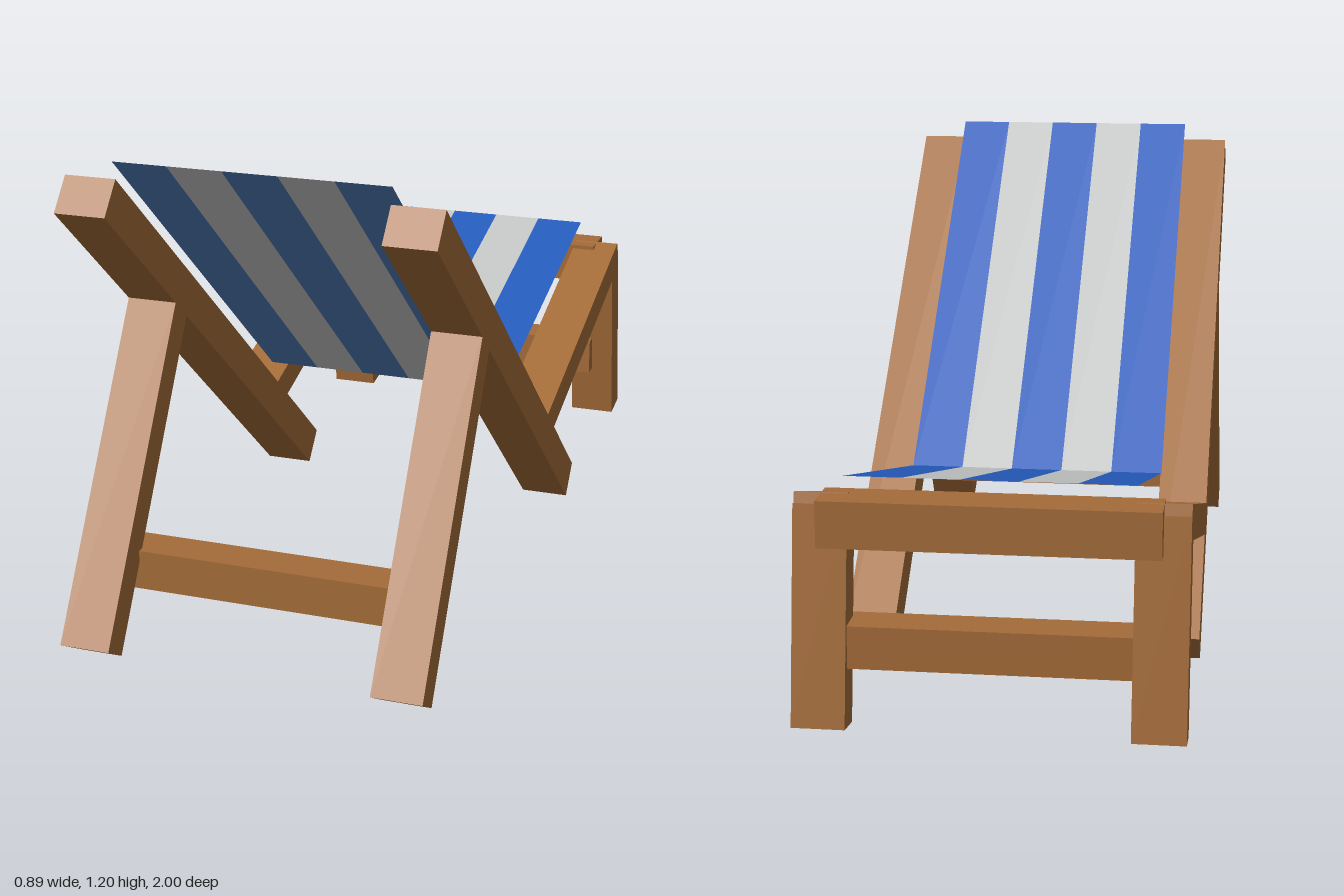
import * as THREE from 'three';

export function createModel() {
  const wood = new THREE.MeshStandardMaterial({ name: 'wood', color: 0xa56c39 });
  const blue = new THREE.MeshStandardMaterial({ name: 'blueCanvas', color: 0x255cbd });
  const fadedBlue = new THREE.MeshStandardMaterial({ name: 'fadedBlueUnderside', color: 0x4f7cb9 });
  const pale = new THREE.MeshStandardMaterial({ name: 'paleCanvas', color: 0xc4c6c5 });

  const chair = new THREE.Group();
  chair.name = 'deckChair';

  // Square-cut timber running between two [z, y] points, at a given x
  function beam(name, x, thickness, [z0, y0], [z1, y1]) {
    const dz = z1 - z0, dy = y1 - y0;
    const mesh = new THREE.Mesh(new THREE.BoxGeometry(0.123, thickness, Math.hypot(dz, dy)), wood);
    mesh.position.set(x, (y0 + y1) / 2, (z0 + z1) / 2);
    mesh.rotation.x = -Math.atan2(dy, dz);
    mesh.name = name;
    chair.add(mesh);
  }

  // Mirrored side timbers
  for (const [side, s] of [['left', 1], ['right', -1]]) {
    const x = 0.3815 * s;
    beam(side + 'BackRail', x, 0.096, [-0.369, 0.036], [0.89, 1.121]);
    beam(side + 'PropLeg', x, 0.08, [0.967, 0.037], [0.52, 0.763]);
    beam(side + 'SeatRail', x, 0.08, [-0.1, 0.292], [-0.916, 0.53]);
    beam(side + 'SeatLeg', x, 0.081, [-0.957, 0.037], [-0.882, 0.538]);
  }

  // Crossbars let into the legs
  function crossbar(name, height, depth, y, z) {
    const mesh = new THREE.Mesh(new THREE.BoxGeometry(0.764, height, depth), wood);
    mesh.position.set(0, y, z);
    mesh.name = name;
    chair.add(mesh);
  }
  crossbar('propCrossbar', 0.098, 0.1, 0.186, 0.766);
  crossbar('seatEndBar', 0.108, 0.11, 0.512, -0.916);
  crossbar('seatLegCrossbar', 0.1, 0.1, 0.223, -0.905);

  // Striped canvas: bright strips facing up, faded strips just beneath facing down
  function canvas(name, [z0, y0], [z1, y1]) {
    const panel = new THREE.Group();
    panel.name = name;
    const length = Math.hypot(z1 - z0, y1 - y0);
    const layers = [['top', -1, 0.002, blue], ['underside', 1, -0.002, fadedBlue]];
    for (const [layer, turn, lift, coloured] of layers) {
      for (let i = 0; i < 5; i++) {
        const strip = new THREE.Mesh(
          new THREE.PlaneGeometry(0.13, length).rotateX(turn * Math.PI / 2),
          i % 2 ? pale : coloured);
        strip.position.set((i - 2) * 0.13, lift, 0);
        strip.name = layer + 'Stripe' + (i + 1);
        panel.add(strip);
      }
    }
    panel.position.set(0, (y0 + y1) / 2, (z0 + z1) / 2);
    panel.rotation.x = -Math.atan2(y1 - y0, z1 - z0);
    chair.add(panel);
  }
  canvas('backCanvas', [-0.075, 0.4], [0.862, 1.2]);
  canvas('seatCanvas', [-0.934, 0.613], [-0.075, 0.4]);

  return chair;
}
